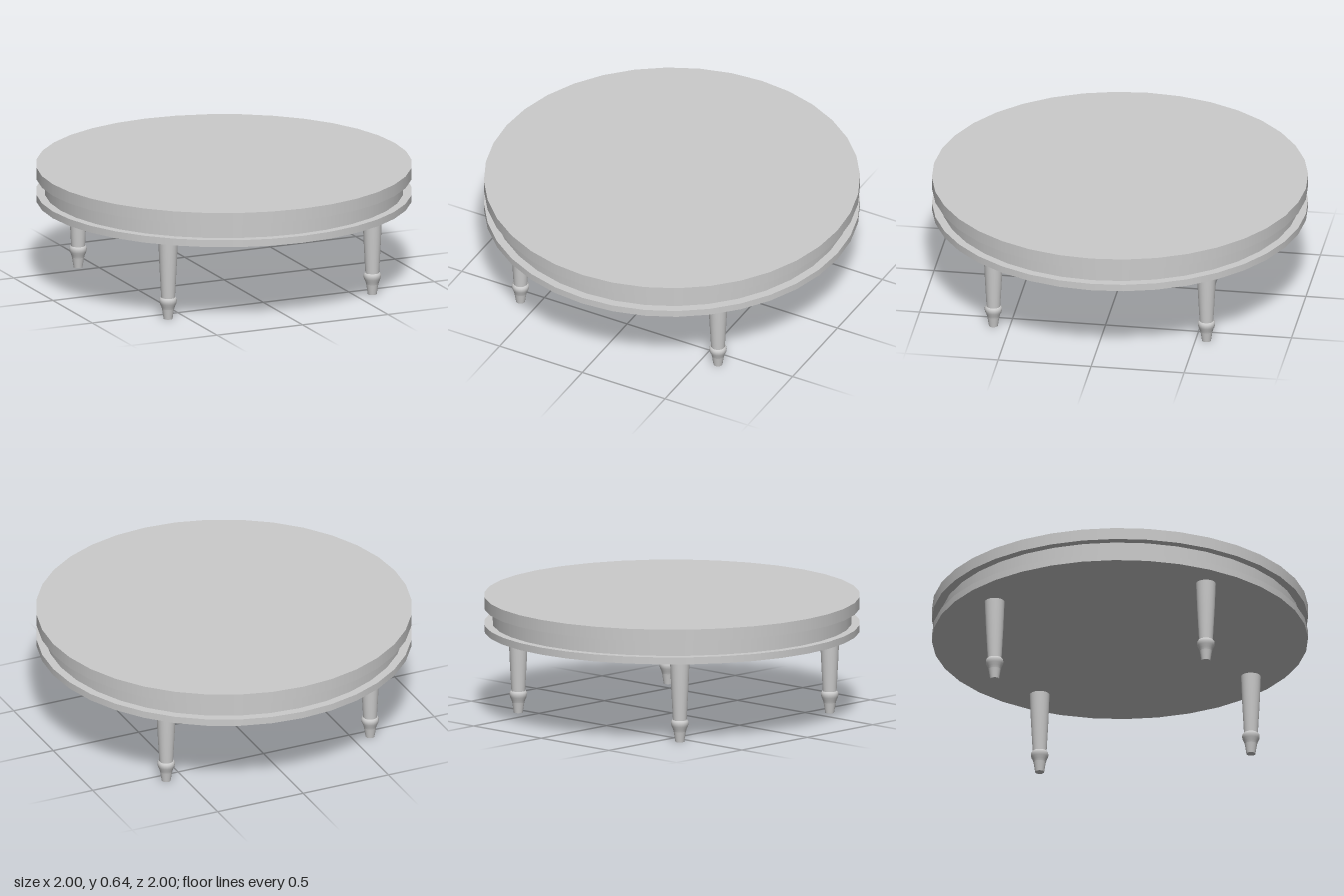
import * as THREE from 'three';

export function createModel() {
  const table = new THREE.Group();
  table.name = 'roundTable';
  const material = new THREE.MeshStandardMaterial({ color: 0xcccccc });

  // Stacked round layers: name, radius, bottom, top
  const layers = [
    ['tableTop', 1, 0.576, 0.64],
    ['apronBand', 0.955, 0.49, 0.576],
    ['lowerRim', 1, 0.452, 0.49],
  ];
  for (const [name, radius, bottom, top] of layers) {
    const disc = new THREE.Mesh(new THREE.CylinderGeometry(radius, radius, top - bottom, 36), material);
    disc.name = name;
    disc.position.y = (bottom + top) / 2;
    table.add(disc);
  }

  // Turned leg: three smooth sections with sharp edges between them
  const sections = {
    foot: [[0, 0], [0.024, 0], [0.024, 0], [0.031, 0.045], [0.033, 0.056]],
    collar: [[0.033, 0.056], [0.037, 0.07], [0.044, 0.085], [0.047, 0.098], [0.046, 0.11], [0.04, 0.118], [0.036, 0.118]],
    shaft: [[0.037, 0.116], [0.047, 0.3], [0.051, 0.4], [0.053, 0.455]],
  };
  const geometries = Object.entries(sections).map(([name, points]) => [
    name,
    new THREE.LatheGeometry(points.map(([r, y]) => new THREE.Vector2(r, y)), 20),
  ]);

  // Four legs, one in each quarter
  for (const x of [-0.597, 0.597]) {
    for (const z of [-0.558, 0.588]) {
      const leg = new THREE.Group();
      leg.name = (z > 0 ? 'front' : 'back') + (x > 0 ? 'Left' : 'Right') + 'Leg';
      for (const [name, geometry] of geometries) {
        const part = new THREE.Mesh(geometry, material);
        part.name = name;
        leg.add(part);
      }
      leg.position.set(x, 0, z);
      table.add(leg);
    }
  }
  return table;
}
